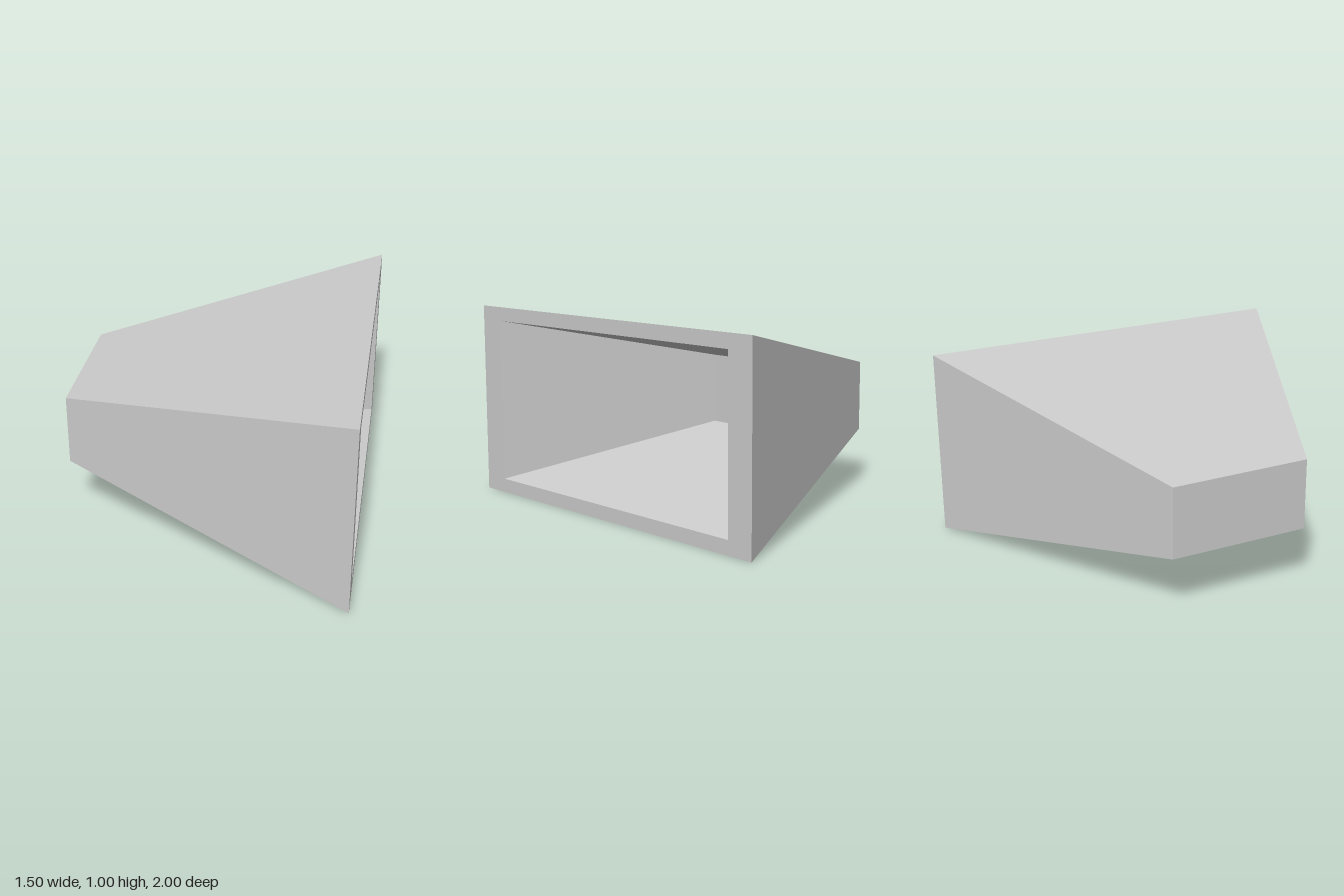
import * as THREE from 'three';

const MID = 0.5; // height of the horn's axis

// Corners of an upright rectangle at x, with half height h and half width w
const ring = (x, h, w) => [[-h, w], [-h, -w], [h, -w], [h, w]].map(([y, z]) => [x, MID + y, z]);

// Flat-sided skin through successive rectangles, with the first and last closed if asked
function skin(rings, capFirst, capLast) {
  const pos = [];
  const quad = (a, b, c, d) => pos.push(...a, ...b, ...c, ...a, ...c, ...d);
  for (let r = 0; r < rings.length - 1; r++) {
    const [p, q] = [rings[r], rings[r + 1]];
    for (let i = 0; i < 4; i++) {
      const j = (i + 1) % 4;
      quad(p[i], p[j], q[j], q[i]);
    }
  }
  if (capFirst) quad(...[...rings[0]].reverse());
  if (capLast) quad(...rings[rings.length - 1]);
  const geo = new THREE.BufferGeometry();
  geo.setAttribute('position', new THREE.Float32BufferAttribute(pos, 3));
  geo.computeVertexNormals();
  return geo;
}

export function createModel() {
  const group = new THREE.Group();
  group.name = 'taperedHousing';
  const material = new THREE.MeshStandardMaterial({ color: 0xcccccc, flatShading: true });

  // Closed small end, outer walls, mouth rim, inner walls and cavity back
  const housing = new THREE.Mesh(skin([
    ring(-0.75, 0.185, 0.37),
    ring(0.75, 0.5, 1),
    ring(0.75, 0.427, 0.853),
    ring(-0.375, 0.19, 0.38),
  ], true, true), material);
  housing.name = 'housing';
  group.add(housing);

  // Round boss on the back wall of the cavity
  const boss = new THREE.Mesh(
    new THREE.CylinderGeometry(0.15, 0.15, 0.12, 64),
    new THREE.MeshStandardMaterial({ color: 0xcccccc }));
  boss.name = 'boss';
  boss.rotation.z = -Math.PI / 2;
  boss.position.set(-0.375, MID, 0);
  group.add(boss);

  return group;
}
